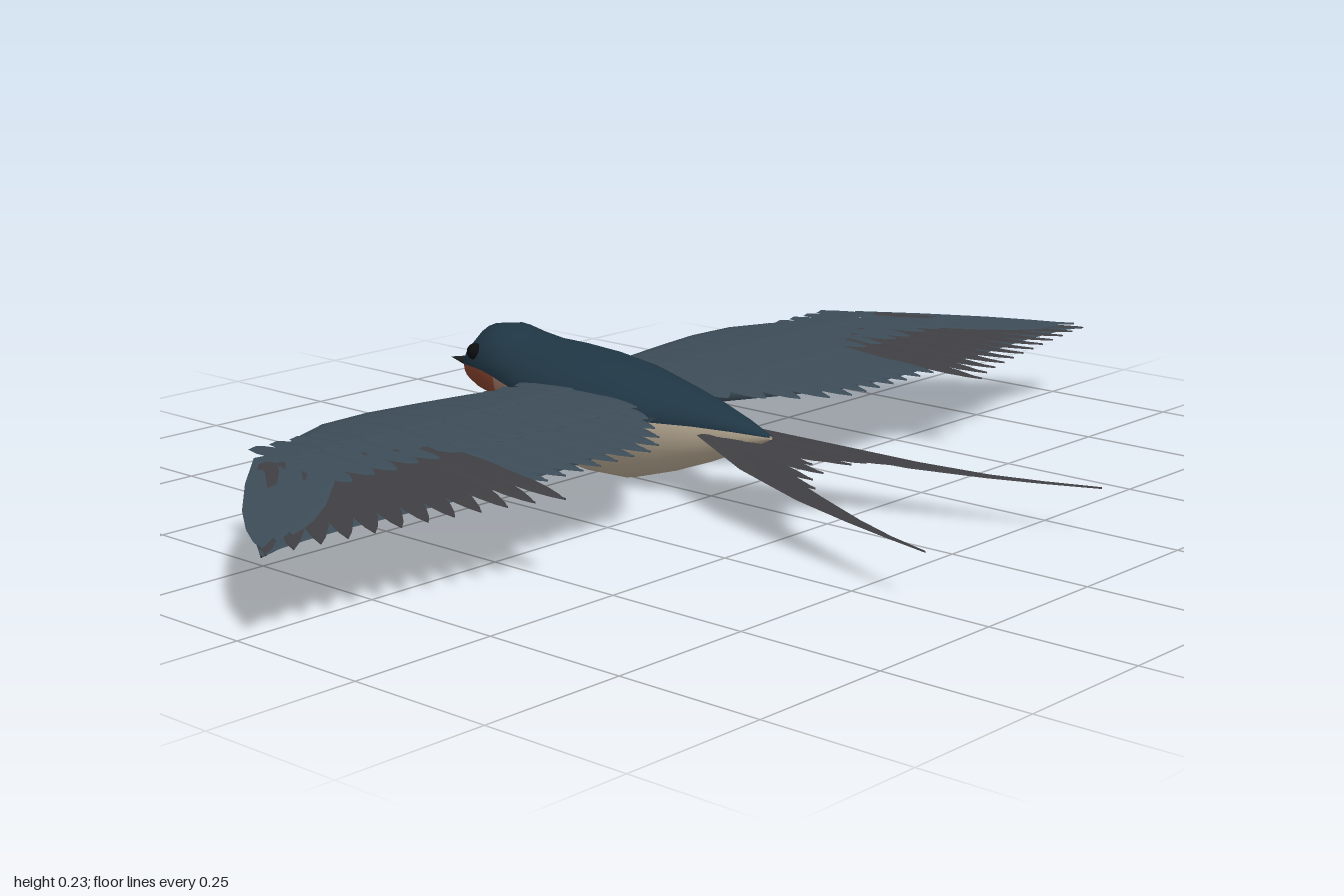
import * as THREE from 'three';
import { mergeGeometries } from 'three/addons/utils/BufferGeometryUtils.js';

const NAVY = 0x203644, SLATE = 0x3c4c57, BROWN = 0x3f3f43, CREAM = 0xc2b39b, RUST = 0x8c4630;
const lerp = THREE.MathUtils.lerp;
const mix = (a, b, t) => new THREE.Color(a).lerp(new THREE.Color(b), t).getHex();

function addMesh(group, name, geometry, color) {
  const material = new THREE.MeshStandardMaterial({ color, side: THREE.DoubleSide });
  const mesh = new THREE.Mesh(geometry, material);
  mesh.name = name;
  group.add(mesh);
  return mesh;
}

// Skin closed rings of points; paint(i, j) returns [name, color] for each quad.
function loft(group, rings, paint) {
  const n = rings[0].length, all = [], parts = new Map();
  for (let i = 0; i < rings.length - 1; i++) {
    for (let j = 0; j < n; j++) {
      const a = i * n + j, b = i * n + (j + 1) % n;
      const quad = [a, a + n, b, b, a + n, b + n];
      const [name, color] = paint(i, j);
      if (!parts.has(name)) parts.set(name, { color, index: [] });
      parts.get(name).index.push(...quad);
      all.push(...quad);
    }
  }
  const whole = new THREE.BufferGeometry();
  whole.setAttribute('position', new THREE.Float32BufferAttribute(rings.flat(2), 3));
  whole.setIndex(all);
  whole.computeVertexNormals();
  for (const [name, { color, index }] of parts) {
    const piece = whole.clone();
    piece.setIndex(index);
    addMesh(group, name, piece.toNonIndexed(), color);
  }
}

// Thin pointed feather with a raised shaft; shape lists half-widths along its length.
const BLADE = [[0, 0.6], [0.3, 0.95], [0.6, 1], [0.8, 0.75], [0.92, 0.4], [1, 0]];
const STREAMER = [[0, 0.6], [0.25, 1], [0.5, 0.75], [0.7, 0.4], [0.85, 0.2], [1, 0]];
function feather(base, tip, width, { shape = BLADE, sag = 0, ridge = 0.003 } = {}) {
  const a = new THREE.Vector3(...base), b = new THREE.Vector3(...tip);
  const side = new THREE.Vector3(b.z - a.z, 0, a.x - b.x).normalize();
  const pos = [], index = [];
  shape.forEach(([t, w], k) => {
    const c = a.clone().lerp(b, t);
    c.y -= sag * Math.sin(Math.PI * t);
    for (const s of [-1, 0, 1]) {
      const p = c.clone().addScaledVector(side, s * w * width / 2);
      pos.push(p.x, p.y + (s === 0 ? ridge : 0), p.z);
    }
    if (k === shape.length - 1) return;
    for (const o of [0, 1]) {
      const q = k * 3 + o;
      index.push(q, q + 3, q + 1, q + 1, q + 3, q + 4);
    }
  });
  const g = new THREE.BufferGeometry();
  g.setAttribute('position', new THREE.Float32BufferAttribute(pos, 3));
  g.setIndex(index);
  g.computeVertexNormals();
  return g;
}

// Merge a row of feathers; make(t, i) returns one feather for t from 0 to 1.
function featherRow(group, name, count, color, make) {
  const row = Array.from({ length: count }, (_, i) => make(i / (count - 1), i));
  addMesh(group, name, mergeGeometries(row), color);
}

function makeBody() {
  const body = new THREE.Group();
  body.name = 'body';
  // z, half width, top, widest height, bottom
  const stations = [
    [-0.572, 0.006, 0.152, 0.146, 0.138], [-0.565, 0.025, 0.165, 0.147, 0.128],
    [-0.545, 0.048, 0.192, 0.152, 0.112], [-0.51, 0.068, 0.224, 0.158, 0.102],
    [-0.465, 0.08, 0.231, 0.158, 0.094], [-0.43, 0.088, 0.222, 0.154, 0.078],
    [-0.39, 0.098, 0.215, 0.148, 0.05], [-0.34, 0.11, 0.214, 0.14, 0.02],
    [-0.26, 0.113, 0.21, 0.132, 0.001], [-0.17, 0.102, 0.2, 0.13, 0.003],
    [-0.08, 0.08, 0.18, 0.13, 0.03], [0, 0.05, 0.165, 0.13, 0.06],
    [0.07, 0.027, 0.146, 0.128, 0.09], [0.13, 0.004, 0.127, 0.124, 0.12],
  ];
  const N = 24;
  const rings = stations.map(([z, w, top, mid, bot]) => Array.from({ length: N }, (_, j) => {
    const a = j / N * Math.PI * 2, c = Math.cos(a);
    return [w * Math.sin(a), mid + c * (c > 0 ? top - mid : mid - bot), z];
  }));
  loft(body, rings, (i, j) => {
    if (j < N / 4 || j >= N * 3 / 4) return ['back', NAVY];
    if (i < 5) return ['throat', RUST];
    if (i < 7) return ['breastBand' + i, mix(RUST, CREAM, (i - 4) / 3)];
    return ['belly', CREAM];
  });

  const beak = addMesh(body, 'beak', new THREE.ConeGeometry(0.024, 0.08, 10), 0x1e2022);
  beak.rotation.x = -Math.PI / 2;
  beak.scale.z = 0.65;
  beak.position.set(0, 0.145, -0.59);
  for (const s of [-1, 1]) {
    const eye = addMesh(body, s > 0 ? 'leftEye' : 'rightEye', new THREE.SphereGeometry(0.015, 16, 12), 0x0b0c0e);
    eye.position.set(s * 0.062, 0.184, -0.5);
  }
  return body;
}

function makeWing() {
  const wing = new THREE.Group();
  // x, leading z, trailing z, top, bottom
  const stations = [
    [0.04, -0.36, -0.07, 0.15, 0.1], [0.1, -0.37, -0.05, 0.156, 0.101],
    [0.2, -0.387, 0.0, 0.16, 0.108], [0.3, -0.405, 0.04, 0.161, 0.114],
    [0.4, -0.42, 0.055, 0.161, 0.118], [0.5, -0.415, 0.055, 0.161, 0.123],
    [0.58, -0.38, 0.06, 0.161, 0.127], [0.66, -0.335, 0.06, 0.16, 0.129],
    [0.74, -0.268, 0.055, 0.156, 0.131], [0.82, -0.195, 0.05, 0.151, 0.132],
    [0.9, -0.095, 0.05, 0.145, 0.133], [0.96, 0, 0.055, 0.141, 0.134],
    [1, 0.06, 0.066, 0.138, 0.135],
  ];
  const M = 8;
  const rings = stations.map(([x, lead, trail, top, bot]) => Array.from({ length: 2 * M }, (_, j) => {
    const t = (Math.abs(M - j) / M) ** 1.6;
    const edge = 0.138, bulge = 4 * (Math.sqrt(t) - t);
    return [x, edge + ((j < M ? top : bot) - edge) * bulge, lerp(lead, trail, t)];
  }));
  loft(wing, rings, (i, j) => j < M ? ['wingTop', SLATE]
    : ['wingUnderside' + i, mix(0x665c50, 0x1c2225, Math.min(1, i / 10))]);

  // Flight feathers along the trailing edge
  featherRow(wing, 'secondaryFeathers', 11, SLATE, (t, i) => {
    const x = lerp(0.12, 0.5, t), y = 0.158 + (i % 2) * 0.002;
    return feather([x, y, -0.16], [x - 0.02, 0.143, -0.05 + 0.15 * Math.sin(Math.PI * Math.min(0.55, t * 1.1))], 0.056);
  });
  featherRow(wing, 'primaryFeathers', 12, BROWN, (t, i) => feather(
    [lerp(0.5, 0.74, t), 0.161 + (i % 2) * 0.002, lerp(-0.12, -0.24, t)],
    [lerp(0.52, 0.995, t), 0.137, lerp(0.175, 0.066, t ** 0.7)], 0.046));
  // Slate feathers lying along the outer leading edge
  featherRow(wing, 'wingTipFeathers', 3, SLATE, (t) => feather(
    [lerp(0.68, 0.72, t), 0.163, lerp(-0.18, -0.27, t)],
    [lerp(0.92, 0.99, t), 0.143, lerp(0.03, 0.05, t)], 0.06));
  // Two overlapping rows of coverts
  featherRow(wing, 'rearCoverts', 15, SLATE, (t, i) => {
    const x = lerp(0.12, 0.7, t);
    return feather([x, 0.166, -0.25], [x + lerp(-0.015, 0.02, t), 0.16 + (i % 2) * 0.002, -0.07], 0.052);
  });
  featherRow(wing, 'frontCoverts', 15, SLATE, (t, i) => {
    const x = lerp(0.12, 0.69, t);
    return feather([x, 0.162, -0.33], [x + lerp(-0.01, 0.01, t), 0.168 + (i % 2) * 0.002, -0.21], 0.05);
  });
  return wing;
}

function makeTail() {
  const tail = new THREE.Group();
  tail.name = 'tail';
  const fan = [[0.014, 0.23], [0.035, 0.27], [0.068, 0.275], [0.098, 0.305]];
  for (const s of [-1, 1]) {
    const side = s > 0 ? 'left' : 'right';
    featherRow(tail, side + 'TailFeathers', fan.length, BROWN, (t, i) => feather(
      [s * lerp(0.006, 0.03, t), 0.126 - i * 0.003, 0.02],
      [s * fan[i][0], 0.098 - i * 0.003, fan[i][1]], 0.036, { sag: 0.006 }));
    addMesh(tail, side + 'TailStreamer', feather([s * 0.035, 0.118, 0.02], [s * 0.23, 0.08, 0.62],
      0.06, { shape: STREAMER, sag: 0.014 }), BROWN);
  }
  return tail;
}

export function createModel() {
  const bird = new THREE.Group();
  bird.name = 'bird';
  // The bird's head points to -z; the wings are mirrored copies.
  const leftWing = makeWing(), rightWing = makeWing();
  leftWing.name = 'leftWing';
  rightWing.name = 'rightWing';
  rightWing.scale.x = -1;
  bird.add(makeBody(), leftWing, rightWing, makeTail());
  return bird;
}
